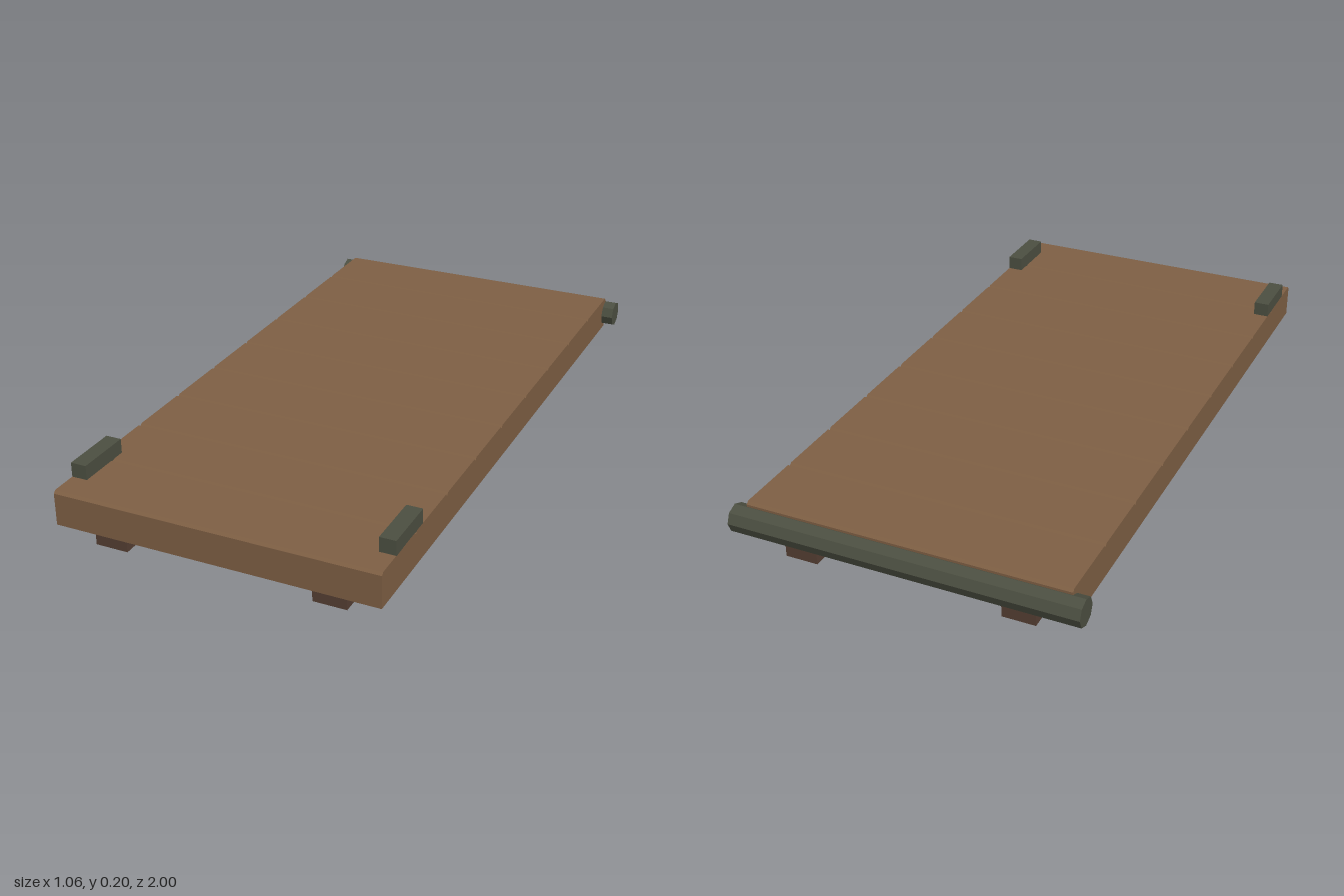
import * as THREE from 'three';

const material = (name, color) => {
  const m = new THREE.MeshStandardMaterial({ color });
  m.name = name;
  return m;
};

export function createModel() {
  const wood = material('plank wood', 0x7e5f44);
  const darkWood = material('dark runner wood', 0x553f33);
  const iron = material('dull green iron', 0x4c4f41);
  const model = new THREE.Group();
  model.name = 'plankRamp';

  const add = (name, geometry, mat, x, y, z) => {
    const mesh = new THREE.Mesh(geometry, mat);
    mesh.name = name;
    mesh.position.set(x, y, z);
    model.add(mesh);
    return mesh;
  };

  // Deck: side profile with bevelled planks, extruded across the width
  const back = -0.955, front = 1, bottom = 0.05, top = 0.156;
  const planks = 9, bevel = 0.008, step = (front - back) / planks;
  const profile = new THREE.Shape();
  profile.moveTo(back, bottom);
  profile.lineTo(front, bottom);
  for (let i = 0; i < planks; i++) {
    const z = front - i * step;
    profile.lineTo(z, top - bevel);
    profile.lineTo(z - bevel, top);
    profile.lineTo(z - step + bevel, top);
  }
  profile.lineTo(back, top - bevel);
  profile.closePath();
  const deck = new THREE.ExtrudeGeometry(profile, { depth: 0.98, bevelEnabled: false });
  deck.rotateY(-Math.PI / 2); // profile x becomes z, depth becomes -x
  add('plankDeck', deck, wood, 0.49, 0, 0);

  // Hinge bar: octagonal rod along the back edge
  const bar = new THREE.CylinderGeometry(0.042, 0.042, 1.056, 8).toNonIndexed();
  bar.computeVertexNormals();
  bar.rotateZ(Math.PI / 2);
  add('hingeBar', bar, iron, 0, 0.1, -0.958);

  // Mirrored runners below and stop blocks above
  for (const [side, s] of [['left', 1], ['right', -1]]) {
    add(side + 'Runner', new THREE.BoxGeometry(0.1, 0.052, 1.92), darkWood, s * 0.332, 0.026, 0.015);
    add(side + 'StopBlock', new THREE.BoxGeometry(0.048, 0.046, 0.175), iron, s * 0.466, 0.177, 0.824);
  }
  return model;
}
